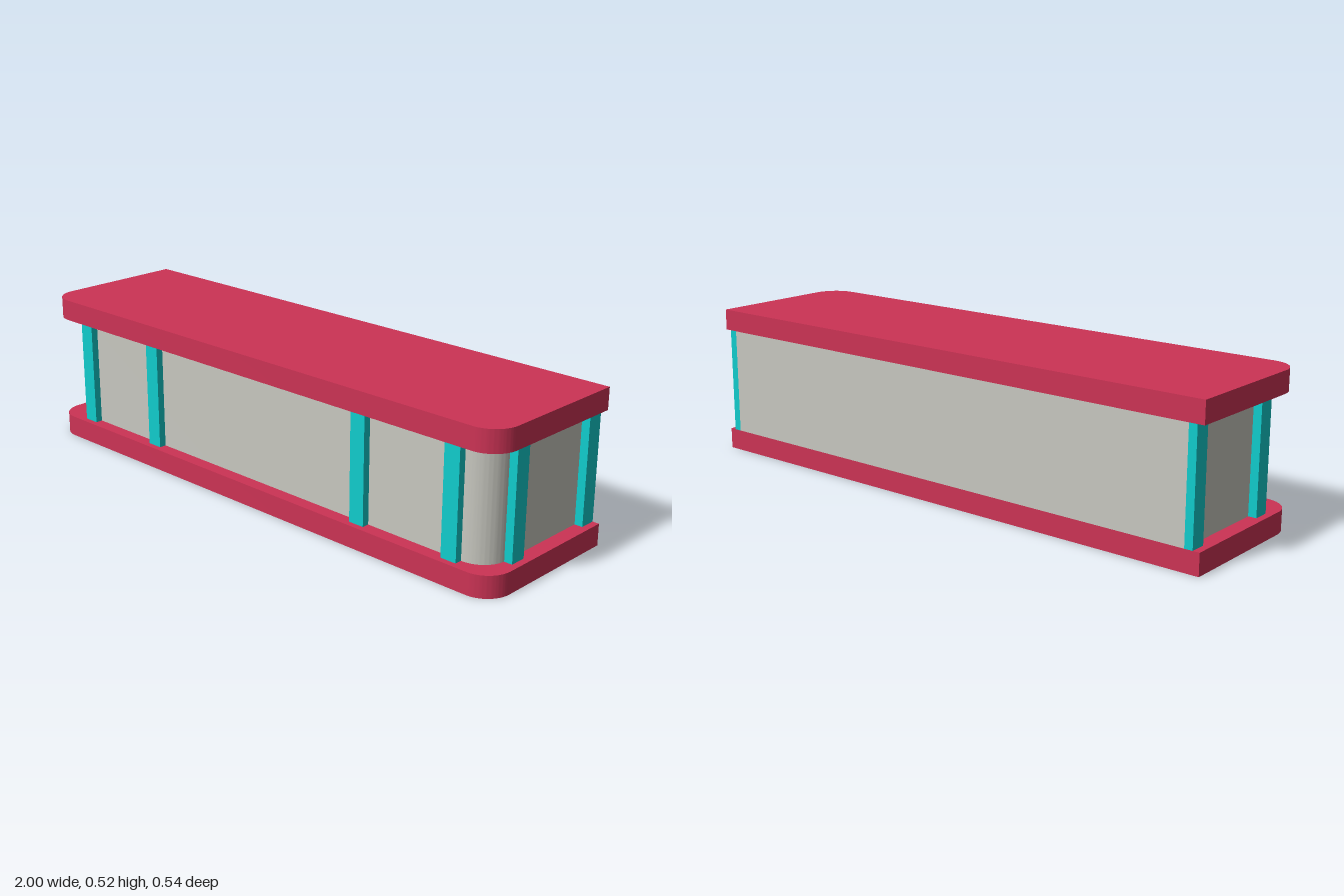
import * as THREE from 'three';
import { toCreasedNormals } from 'three/addons/utils/BufferGeometryUtils.js';

const BACK = -0.271;
const SLAB = 0.073; // slab thickness
const WALL = 0.37; // height between the slabs

// Block with a square back and two rounded front corners
function roundedFrontBlock(halfWidth, front, radius, height) {
  const s = new THREE.Shape();
  // shape y becomes -z once laid flat
  s.moveTo(-halfWidth, -BACK);
  s.lineTo(-halfWidth, -front + radius);
  s.absarc(-halfWidth + radius, -front + radius, radius, Math.PI, Math.PI * 1.5, false);
  s.lineTo(halfWidth - radius, -front);
  s.absarc(halfWidth - radius, -front + radius, radius, -Math.PI / 2, 0, false);
  s.lineTo(halfWidth, -BACK);
  s.closePath();
  const g = new THREE.ExtrudeGeometry(s, { depth: height, bevelEnabled: false, curveSegments: 16 });
  g.rotateX(-Math.PI / 2);
  return toCreasedNormals(g, 0.5);
}

export function createModel() {
  const red = new THREE.MeshStandardMaterial({ color: 0xcc3355 });
  red.name = 'crimson';
  const teal = new THREE.MeshStandardMaterial({ color: 0x11cccc });
  teal.name = 'turquoise';
  const grey = new THREE.MeshStandardMaterial({ color: 0xc8c8c0 });
  grey.name = 'warm grey';

  const model = new THREE.Group();
  model.name = 'counter';
  const add = (name, geometry, material, x, y, z) => {
    const mesh = new THREE.Mesh(geometry, material);
    mesh.name = name;
    mesh.position.set(x, y, z);
    model.add(mesh);
  };

  // Base and top slabs, with the recessed wall block between them
  const slab = roundedFrontBlock(1, 0.271, 0.09, SLAB);
  add('baseSlab', slab, red, 0, 0, 0);
  add('topSlab', slab, red, 0, SLAB + WALL, 0);
  add('wall', roundedFrontBlock(0.949, 0.225, 0.09, WALL), grey, 0, SLAB, 0);

  // Upright strips on the front
  const midY = SLAB + WALL / 2;
  const frontStrip = new THREE.BoxGeometry(0.056, WALL, 0.026);
  for (const x of [-0.832, -0.476, 0.47, 0.828]) {
    add('frontStrip', frontStrip, teal, x, midY, 0.237);
  }

  // Upright strips on both ends
  const endStrip = new THREE.BoxGeometry(0.028, WALL, 0.056);
  for (const side of [-1, 1]) {
    for (const z of [0.115, BACK + 0.028]) {
      add('endStrip', endStrip, teal, side * 0.963, midY, z);
    }
  }
  return model;
}
